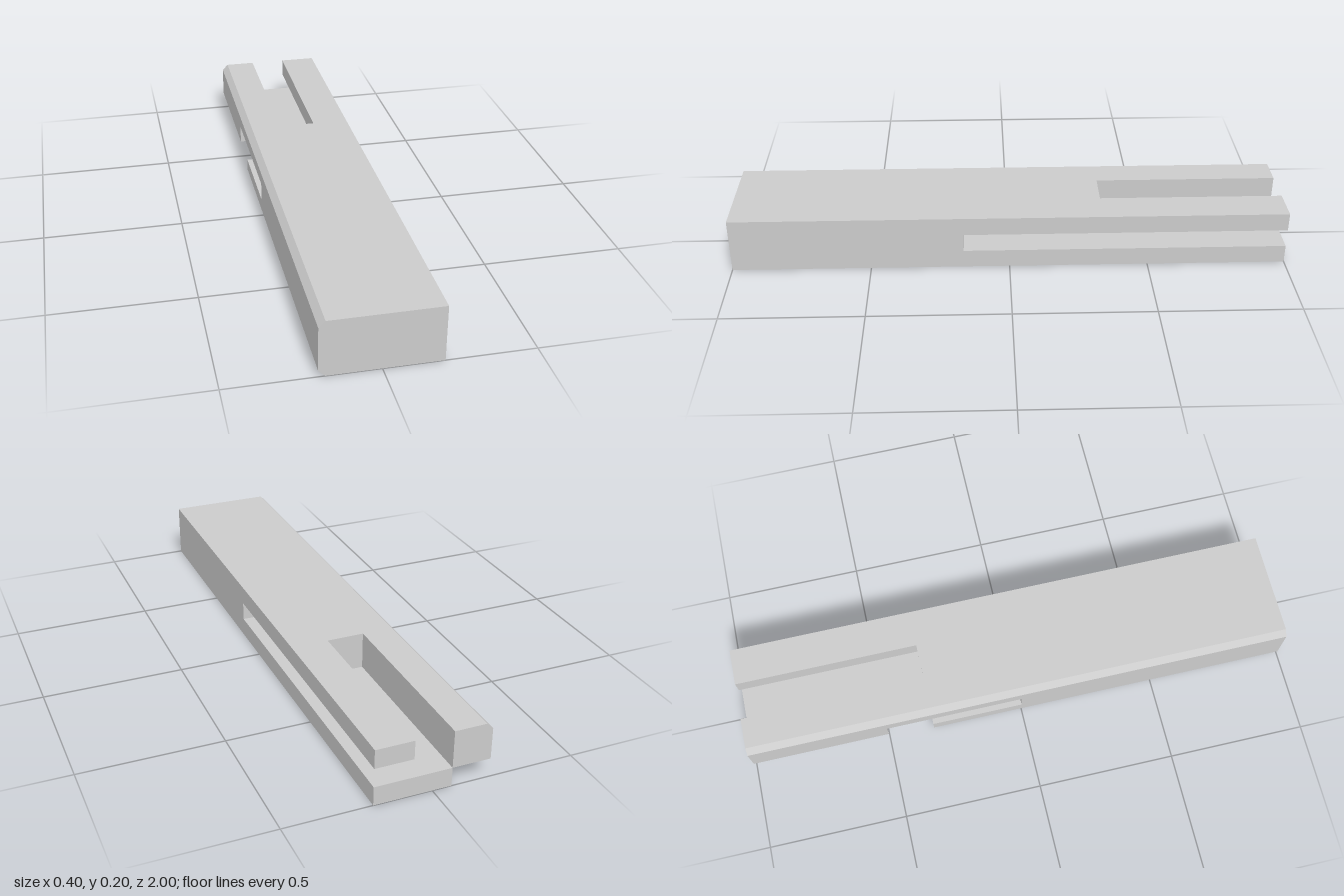
import * as THREE from 'three';

const W = 0.2;        // half width and full height
const T = 0.2 / 3;    // thickness of one layer
const C = 0.022;      // chamfer
const POCKET = -0.1;  // floor of the side pocket

export function createModel() {
  const model = new THREE.Group();
  model.name = 'notchedBar';
  const material = new THREE.MeshStandardMaterial({ color: 0xcccccc, flatShading: true });

  // Extrude an x-y cross-section between two z positions
  function bar(name, z0, z1, points) {
    const shape = new THREE.Shape(points.map(([x, y]) => new THREE.Vector2(x, y)));
    const geometry = new THREE.ExtrudeGeometry(shape, { depth: z1 - z0, bevelEnabled: false });
    geometry.translate(0, 0, z0);
    const mesh = new THREE.Mesh(geometry, material);
    mesh.name = name;
    model.add(mesh);
  }

  // Pieces of the outlines, listed counter-clockwise
  const topLeft = [[-W + C, W], [-W, W - C]];
  const bottomLeft = [[-W, C], [-W + C, 0]];
  const rightSlot = [[W, T], [T, T], [T, 2 * T], [W, 2 * T]];
  const pocket = [[-W, 2 * T], [POCKET, 2 * T], [POCKET, T], [-W, T]];

  // Solid front, then the stretch with the right slot, then slot and pocket
  bar('solidFront', 1 / 6, 1, [[W, 0], [W, W], ...topLeft, ...bottomLeft]);
  bar('slottedMiddle', 0, 1 / 6, [[W, 0], ...rightSlot, [W, W], ...topLeft, ...bottomLeft]);
  bar('pocketedMiddle', -1 / 3, 0,
    [[W, 0], ...rightSlot, [W, W], ...topLeft, ...pocket, ...bottomLeft]);

  // Rear prongs
  bar('upperProng', -1, -1 / 3, [[T, 2 * T], [W, 2 * T], [W, W], [T, W]]);
  bar('lowerProng', -1, -1 / 3, [[-T, 0], [W, 0], [W, T], [-T, T]]);
  bar('sideProngNeck', -1 / 2, -1 / 3,
    [[-T, T], [-T, W], ...topLeft, [-W, 2 * T], [POCKET, 2 * T], [POCKET, T]]);
  bar('sideProng', -1, -1 / 2, [[-T, T], [-T, W], ...topLeft, [-W, T]]);

  return model;
}
